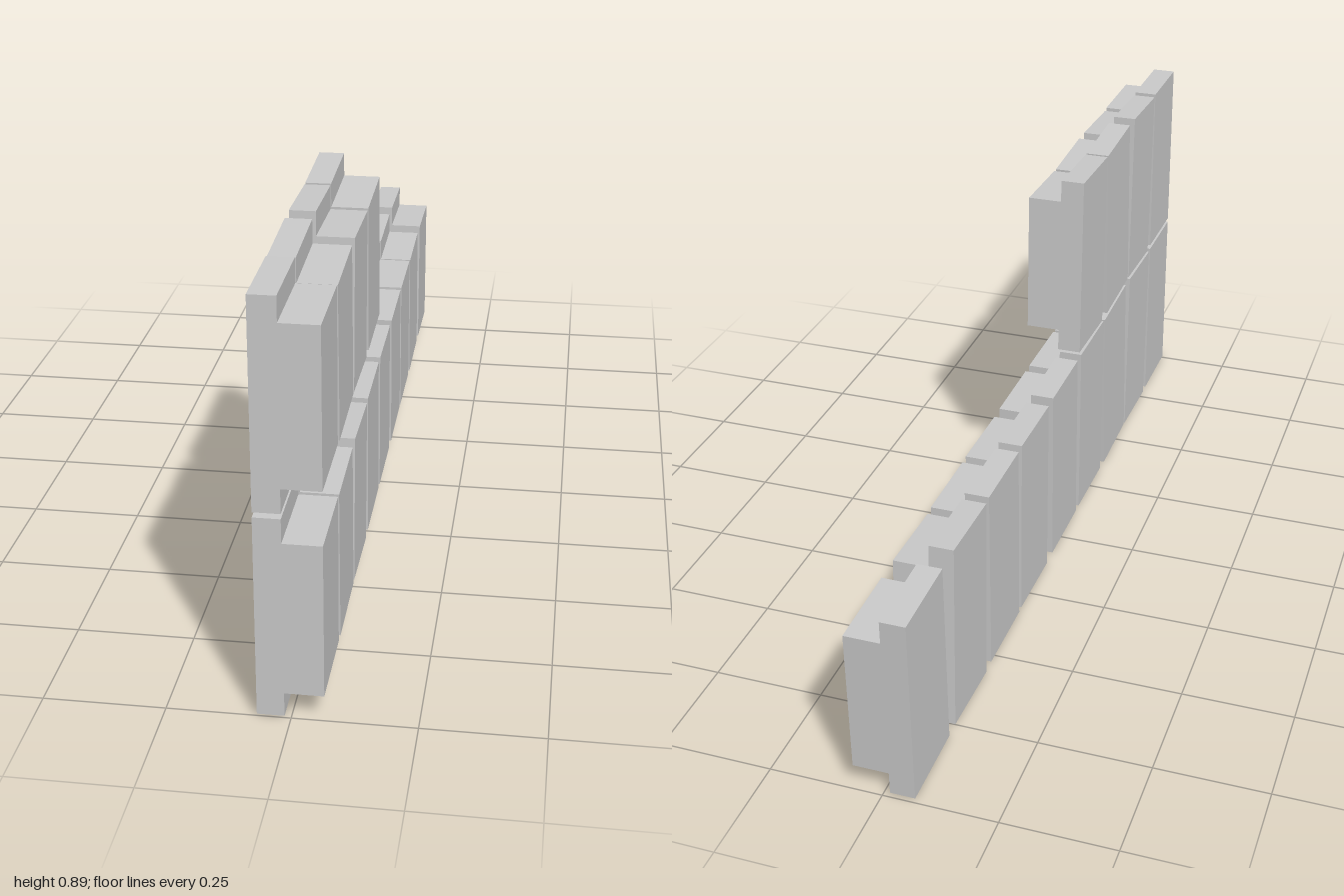
import * as THREE from 'three';

const LENGTH = 0.196; // block size along the row
const BACK = -0.068, STEP = -0.013, FRONT = 0.066;
const HALF_BACK = 0.218, HALF_FRONT = 0.166;

// Rows of blocks: [z centre, tilt about x]
const rows = [
  { name: 'lowerBlock', y: 0.225, blocks: [
    [0.902, 0], [0.686, 0.03], [0.464, -0.045], [0.243, 0.01], [0.02, 0],
    [-0.215, 0.022], [-0.43, 0.005], [-0.651, 0.042], [-0.897, -0.022]] },
  { name: 'upperBlock', y: 0.672, blocks: [
    [0.902, 0], [0.687, 0.043], [0.463, -0.045], [0.24, 0.04]] },
];

// Stepped cross-section: tall slab with a shorter raised face
function blockGeometry() {
  const profile = new THREE.Shape([
    [BACK, -HALF_BACK], [STEP, -HALF_BACK], [STEP, -HALF_FRONT], [FRONT, -HALF_FRONT],
    [FRONT, HALF_FRONT], [STEP, HALF_FRONT], [STEP, HALF_BACK], [BACK, HALF_BACK],
  ].map(([x, y]) => new THREE.Vector2(x, y)));
  const geometry = new THREE.ExtrudeGeometry(profile, { depth: LENGTH, bevelEnabled: false });
  return geometry.translate(0, 0, -LENGTH / 2);
}

export function createModel() {
  const model = new THREE.Group();
  model.name = 'blockWall';
  const geometry = blockGeometry();
  const material = new THREE.MeshStandardMaterial({ color: 0xcccccc, flatShading: true });

  // Slightly crooked blocks laid in two rows
  for (const row of rows) {
    row.blocks.forEach(([z, tilt], i) => {
      const block = new THREE.Mesh(geometry, material);
      block.name = `${row.name}${i + 1}`;
      block.position.set(0, row.y, z);
      block.rotation.x = tilt;
      model.add(block);
    });
  }
  return model;
}
